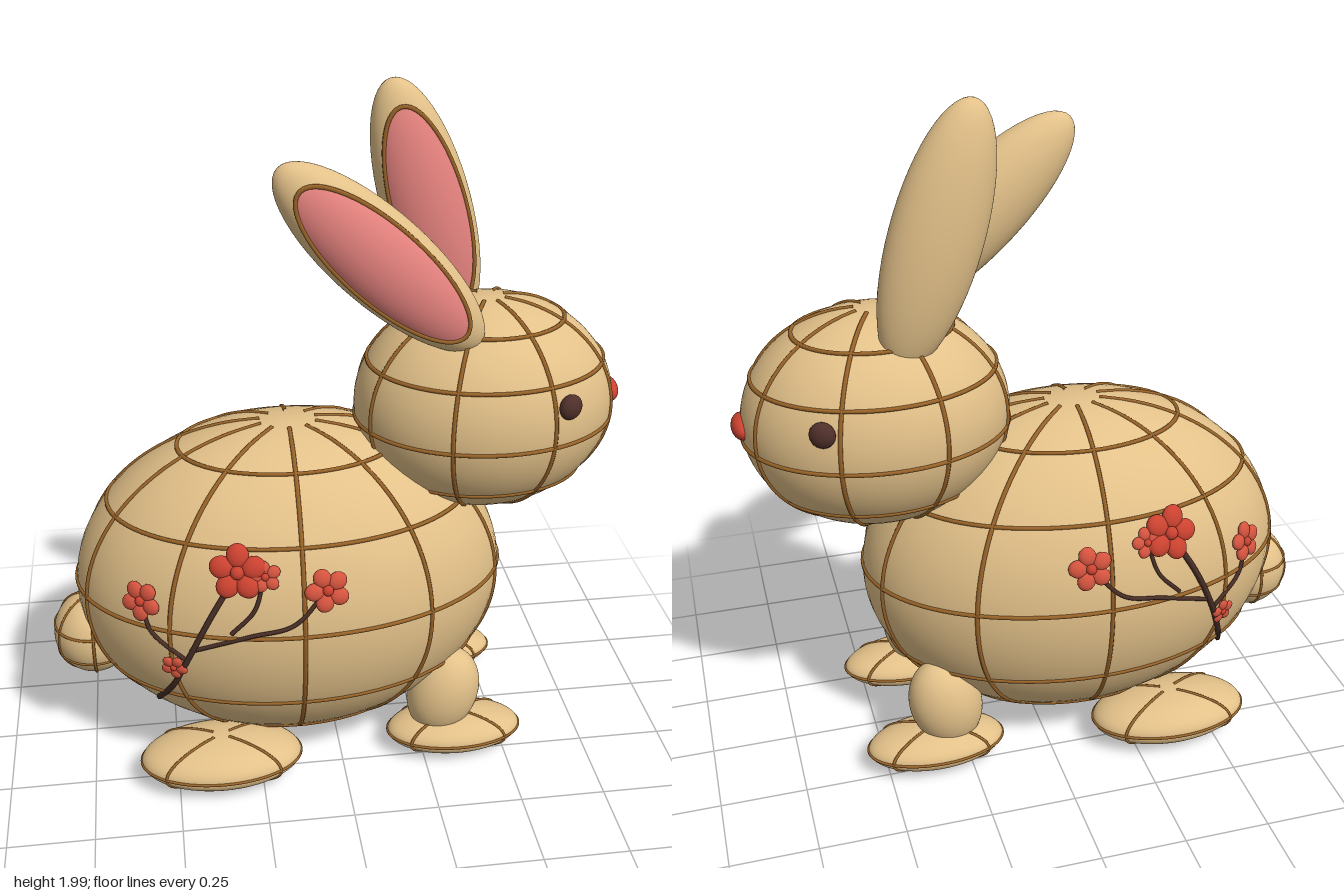
import * as THREE from 'three';

const mat = (name, color) => {
  const m = new THREE.MeshStandardMaterial({ color });
  m.name = name;
  return m;
};

export function createModel() {
  const paper = mat('warm paper', 0xe3c189);
  const frame = mat('bamboo frame', 0x9a6428);
  const pink = mat('ear pink', 0xe88480);
  const dark = mat('eye brown', 0x50302a);
  const bark = mat('bark', 0x4a2f26);
  const red = mat('blossom red', 0xcc4230);
  const coral = mat('blossom coral', 0xd6543f);

  const model = new THREE.Group();
  model.name = 'rabbitLantern';
  const V = (x, y, z) => new THREE.Vector3(x, y, z);

  const add = (parent, name, geo, material) => {
    const m = new THREE.Mesh(geo, material);
    m.name = name;
    parent.add(m);
    return m;
  };
  const group = (parent, name) => {
    const g = new THREE.Group();
    g.name = name;
    parent.add(g);
    return g;
  };
  const ball = (r, w = 48, h = 32) => new THREE.SphereGeometry(1, w, h).scale(...r);
  const tube = (pts, radius, closed = false, seg = 64) =>
    new THREE.TubeGeometry(new THREE.CatmullRomCurve3(pts, closed), seg, radius, 6, closed);

  // Paper shell with horizontal hoops (angles from the top) and meridian ribs
  function lantern(name, centre, r, hoops, ribs, radius) {
    const g = group(model, name);
    g.position.set(...centre);
    add(g, name + 'Shell', ball(r, 64, 40), paper);
    const at = (t, p) => V(r[0] * Math.sin(t) * Math.cos(p), r[1] * Math.cos(t), r[2] * Math.sin(t) * Math.sin(p));
    hoops.forEach(t => {
      const pts = Array.from({ length: 32 }, (_, i) => at(t, i / 32 * Math.PI * 2));
      add(g, name + 'Hoop', tube(pts, radius, true, 96), frame);
    });
    for (let k = 0; k < ribs; k++) {
      const p = (k + 0.5) / ribs * Math.PI * 2;
      const pts = Array.from({ length: 17 }, (_, i) => at(0.13 + i / 16 * (Math.PI - 0.26), p));
      add(g, name + 'Rib', tube(pts, radius), frame);
    }
  }

  const bodyC = [-0.13, 0.56, 0], bodyR = [0.637, 0.504, 0.416];
  lantern('body', bodyC, bodyR, [0.53, 0.99, 1.517, 2.04, 2.54], 10, 0.0065);
  lantern('head', [0.443, 1.093, 0], [0.378, 0.319, 0.298], [0.627, 1.126, 1.687, 2.25], 8, 0.0065);
  lantern('tail', [-0.73, 0.385, 0], [0.12, 0.13, 0.12], [1.29, 1.98], 6, 0.0045);

  // Feet and front legs
  for (const s of [1, -1]) {
    lantern('hindFoot', [-0.37, 0.085, s * 0.27], [0.239, 0.075, 0.14], [1.57], 4, 0.0045);
    lantern('frontFoot', [0.35, 0.073, s * 0.212], [0.205, 0.062, 0.113], [1.57], 4, 0.0045);
    const leg = add(model, 'frontLeg', ball([0.108, 0.148, 0.088]), paper);
    leg.position.set(0.315, 0.207, s * 0.203);
    leg.rotation.z = -0.25;
  }

  // Ears: the pole of each sphere faces the front, so its cap is the pink lining
  const split = 0.95, earR = [0.127, 0.378, 0.088];
  const earPart = (start, len) => new THREE.SphereGeometry(1, 56, 28, 0, Math.PI * 2, start, len)
    .rotateX(Math.PI / 2).scale(...earR);
  for (const [name, x, y, z, tilt] of [['rightEar', 0.112, 1.59, 0.155, 0.813], ['leftEar', 0.288, 1.637, -0.141, 0.295]]) {
    const ear = group(model, name);
    ear.position.set(x, y, z);
    ear.rotation.z = tilt;
    add(ear, name + 'Shell', earPart(split, Math.PI - split), paper);
    add(ear, name + 'Lining', earPart(0, split), pink);
    const rim = Array.from({ length: 40 }, (_, i) => {
      const a = i / 40 * Math.PI * 2, s = Math.sin(split);
      return V(earR[0] * s * Math.cos(a), earR[1] * s * Math.sin(a), earR[2] * Math.cos(split));
    });
    add(ear, name + 'Rim', tube(rim, 0.0065, true, 96), frame);
  }

  // Face
  for (const s of [1, -1]) {
    const eye = add(model, 'eye', ball([0.036, 0.037, 0.024], 24, 16), dark);
    eye.position.set(0.629, 1.172, s * 0.254);
    eye.rotation.y = s * 0.42;
  }
  add(model, 'nose', ball([0.03, 0.034, 0.058], 24, 16), red).position.set(0.817, 1.1, 0);

  // Blossom sprays lying on both flanks
  const onBody = (x, y, s, lift) => {
    const u = (x - bodyC[0]) / bodyR[0], v = (y - bodyC[1]) / bodyR[1];
    return V(x, y, s * (bodyR[2] * Math.sqrt(Math.max(0, 1 - u * u - v * v)) + lift));
  };
  const twigs = [
    [0.009, [-0.545, 0.28], [-0.5, 0.39], [-0.455, 0.51], [-0.39, 0.65], [-0.31, 0.78]],
    [0.006, [-0.462, 0.5], [-0.555, 0.58], [-0.578, 0.67]],
    [0.006, [-0.45, 0.535], [-0.28, 0.6], [-0.16, 0.632], [-0.065, 0.73]],
    [0.006, [-0.335, 0.605], [-0.268, 0.68], [-0.24, 0.77]],
  ];
  const flowers = [
    [-0.31, 0.785, 0.08, red], [-0.236, 0.775, 0.045, coral], [-0.066, 0.73, 0.064, coral],
    [-0.578, 0.67, 0.06, coral], [-0.497, 0.472, 0.04, coral],
  ];
  for (const s of [1, -1]) {
    const spray = group(model, 'blossomSpray');
    twigs.forEach(([r, ...pts]) =>
      add(spray, 'twig', tube(pts.map(p => onBody(p[0], p[1], s, 0.006)), r, false, 24), bark));
    flowers.forEach(([x, y, r, colour], n) => {
      const f = group(spray, 'flower');
      f.position.copy(onBody(x, y, s, 0.012));
      const p = f.position;
      const normal = V((p.x - bodyC[0]) / bodyR[0] ** 2, (p.y - bodyC[1]) / bodyR[1] ** 2, p.z / bodyR[2] ** 2).normalize();
      f.quaternion.setFromUnitVectors(V(0, 0, 1), normal);
      for (let k = 0; k < 5; k++) {
        const a = k / 5 * Math.PI * 2 + 0.3 + n * 0.2;
        const petal = add(f, 'petal', ball([r * 0.44, r * 0.4, r * 0.22], 14, 10), colour);
        petal.position.set(Math.cos(a) * r * 0.58, Math.sin(a) * r * 0.58, 0);
        petal.rotation.z = a;
      }
      add(f, 'flowerCentre', ball([r * 0.25, r * 0.25, r * 0.22], 12, 8), red).position.z = r * 0.08;
    });
  }
  return model;
}
